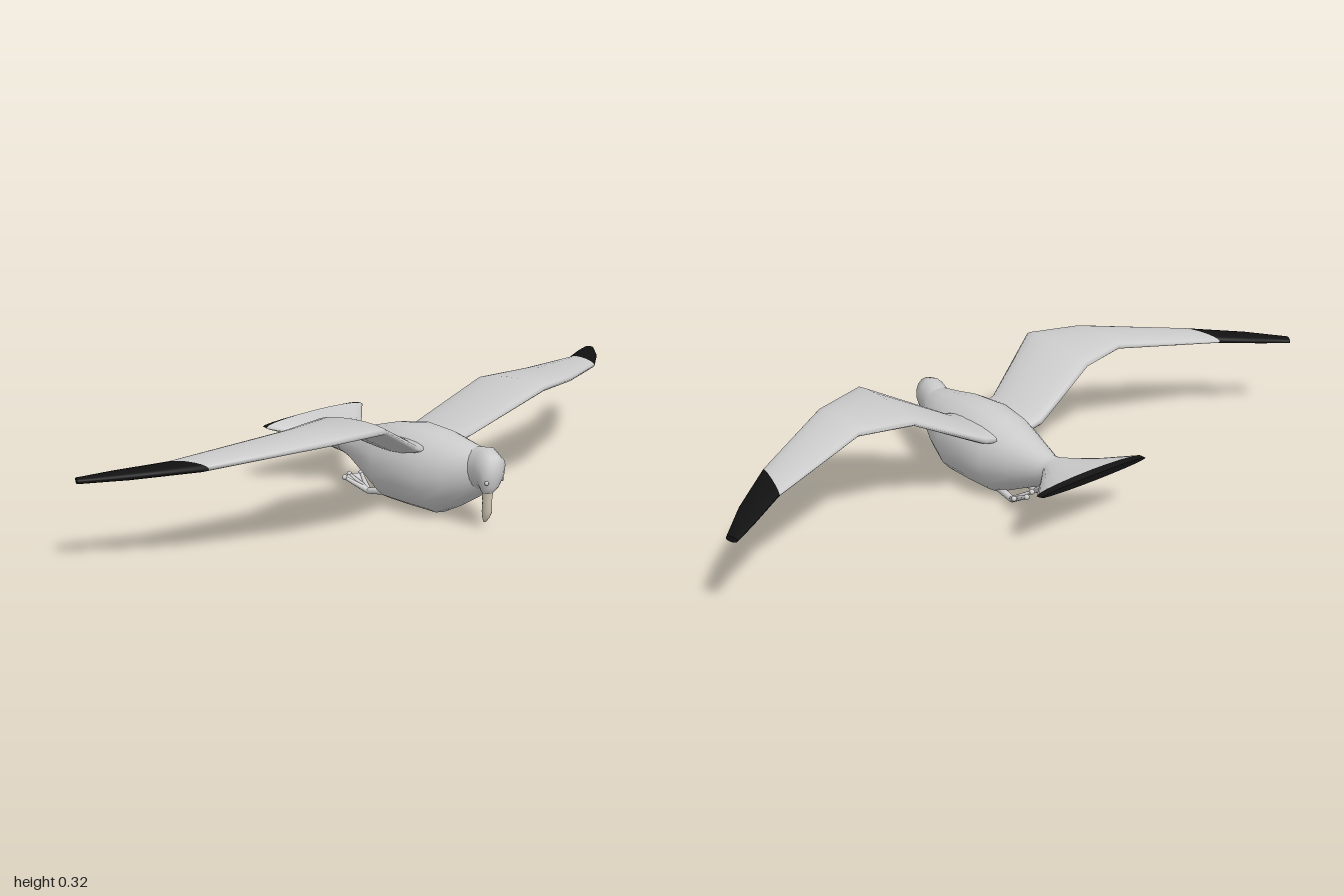
import * as THREE from 'three';

const V = (a) => new THREE.Vector3(...a);
const material = (color) => new THREE.MeshStandardMaterial({ color });
const grey = material(0xcccccc);
const black = material(0x111111);
const horn = material(0xd9d0bd);

// Closed skin through elliptical sections [centre, halfAxisU, halfAxisV]
function loft(name, sections, mat, n = 16) {
  const rings = sections.map(([c, u, v]) => {
    const ring = [];
    for (let j = 0; j < n; j++) {
      const a = (j / n) * Math.PI * 2;
      ring.push(V(c).addScaledVector(V(u), Math.cos(a)).addScaledVector(V(v), Math.sin(a)));
    }
    return ring;
  });
  const [c0, u0, v0] = sections[0];
  const along = V(sections[1][0]).sub(V(c0));
  const flip = V(u0).cross(V(v0)).dot(along) < 0;
  const pos = [], index = [];
  const tri = (a, b, c) => (flip ? index.push(a, c, b) : index.push(a, b, c));
  rings.flat().forEach((p) => pos.push(p.x, p.y, p.z));
  for (let i = 0; i < rings.length - 1; i++) {
    for (let j = 0; j < n; j++) {
      const a = i * n + j, b = i * n + ((j + 1) % n);
      tri(a, b, b + n);
      tri(a, b + n, a + n);
    }
  }
  // End caps with their own vertices so their rims stay crisp
  for (const end of [0, rings.length - 1]) {
    const s = pos.length / 3;
    pos.push(...sections[end][0]);
    rings[end].forEach((p) => pos.push(p.x, p.y, p.z));
    for (let j = 0; j < n; j++) {
      const a = s + 1 + j, b = s + 1 + ((j + 1) % n);
      end ? tri(s, a, b) : tri(s, b, a);
    }
  }
  const g = new THREE.BufferGeometry();
  g.setAttribute('position', new THREE.Float32BufferAttribute(pos, 3));
  g.setIndex(index);
  g.computeVertexNormals();
  const mesh = new THREE.Mesh(g, mat);
  mesh.name = name;
  return mesh;
}

// Upright section across z: [z, bottom, top, halfWidth]
const upright = ([z, lo, hi, w]) => [[0, (lo + hi) / 2, z], [w, 0, 0], [0, (hi - lo) / 2, 0]];

// Wing section from leading edge, trailing edge and half thickness
const chord = (side) => ([le, te, t]) => {
  const l = V([le[0] * side, le[1], le[2]]), r = V([te[0] * side, te[1], te[2]]);
  const c = l.clone().add(r).multiplyScalar(0.5);
  return [c.toArray(), l.sub(c).toArray(), [0, t, 0]];
};

// Thin tapered rod between two points, used for legs and toes
function rod(name, a, b, r0, r1) {
  const d = V(b).sub(V(a));
  const mesh = new THREE.Mesh(new THREE.CylinderGeometry(r1, r0, d.length(), 8), grey);
  mesh.position.copy(V(a)).addScaledVector(d, 0.5);
  mesh.quaternion.setFromUnitVectors(new THREE.Vector3(0, 1, 0), d.normalize());
  mesh.name = name;
  return mesh;
}

function makeWing(side) {
  const wing = new THREE.Group();
  wing.name = side > 0 ? 'leftWing' : 'rightWing';
  const joint = [[0.75, 0.266, 0.06], [0.79, 0.258, -0.075], 0.014];
  const inner = [
    [[0.04, 0.185, 0.145], [0.05, 0.18, -0.06], 0.02],
    [[0.1, 0.2, 0.155], [0.1, 0.19, -0.06], 0.022],
    [[0.31, 0.31, 0.248], [0.31, 0.29, -0.015], 0.02],
    [[0.47, 0.302, 0.208], [0.47, 0.295, 0.02], 0.018],
    joint,
  ];
  const tip = [
    joint,
    [[0.9, 0.251, -0.055], [0.91, 0.246, -0.142], 0.012],
    [[1, 0.24, -0.15], [0.985, 0.238, -0.18], 0.008],
  ];
  wing.add(loft('wingPanel', inner.map(chord(side)), grey));
  wing.add(loft('wingTip', tip.map(chord(side)), black));
  return wing;
}

// Webbed foot folded back against the belly
function makeFoot(side) {
  const foot = new THREE.Group();
  foot.name = side > 0 ? 'leftFoot' : 'rightFoot';
  const heel = [0.045 * side, 0.014, -0.1];
  foot.add(rod('leg', [0.04 * side, 0.025, -0.035], heel, 0.011, 0.009));
  const ends = [0.02, 0.052, 0.085].map((x, i) => [x * side, 0.05, i === 1 ? -0.17 : -0.155]);
  ends.forEach((e) => {
    foot.add(rod('toe', heel, e, 0.009, 0.005));
    const ball = new THREE.Mesh(new THREE.SphereGeometry(0.008, 8, 6), grey);
    ball.position.set(...e);
    ball.name = 'toeEnd';
    foot.add(ball);
  });
  const g = new THREE.BufferGeometry();
  g.setAttribute('position', new THREE.Float32BufferAttribute(
    [...heel, ...ends[0], ...ends[1], ...heel, ...ends[1], ...ends[2]], 3));
  g.computeVertexNormals();
  const web = new THREE.Mesh(g, new THREE.MeshStandardMaterial({ color: 0xcccccc, side: THREE.DoubleSide }));
  web.name = 'web';
  foot.add(web);
  return foot;
}

export function createModel() {
  const bird = new THREE.Group();
  bird.name = 'bird';

  // Body, from breast to rump
  bird.add(loft('body', [
    [0.315, 0.11, 0.19, 0.032],
    [0.28, 0.07, 0.212, 0.058],
    [0.22, 0.033, 0.22, 0.085],
    [0.155, 0, 0.232, 0.107],
    [0.06, 0, 0.238, 0.112],
    [-0.03, 0.001, 0.222, 0.105],
    [-0.11, 0.04, 0.198, 0.075],
    [-0.2, 0.082, 0.171, 0.042],
    [-0.23, 0.094, 0.172, 0.046],
  ].map(upright), grey, 20));

  // Fanned tail with dark end band
  bird.add(loft('tail', [
    [-0.225, 0.092, 0.172, 0.046],
    [-0.3, 0.125, 0.181, 0.122],
    [-0.368, 0.155, 0.19, 0.19],
  ].map(upright), grey, 20));
  bird.add(loft('tailBand', [
    [-0.368, 0.155, 0.19, 0.19],
    [-0.385, 0.165, 0.183, 0.187],
  ].map(upright), black, 20));

  // Head bowed down and turned slightly to the right
  bird.add(loft('head', [
    [[0, 0.15, 0.27], [0.048, 0, 0], [0, 0.062, 0]],
    [[-0.012, 0.165, 0.322], [0.042, 0, 0.012], [0, 0.06, 0.004]],
    [[-0.022, 0.16, 0.348], [0.042, 0, 0.01], [-0.005, 0.049, 0.022]],
    [[-0.027, 0.141, 0.355], [0.037, 0, 0.006], [-0.008, 0.034, 0.028]],
    [[-0.03, 0.117, 0.352], [0.025, 0, 0.004], [-0.008, 0.012, 0.024]],
    [[-0.03, 0.104, 0.344], [0.014, 0, 0.002], [-0.005, 0.003, 0.017]],
  ], grey));

  // Downward hooked beak
  bird.add(loft('beak', [
    [[-0.03, 0.115, 0.343], [0.014, 0, 0], [0, 0, 0.018]],
    [[-0.029, 0.08, 0.341], [0.011, 0, 0], [0, 0, 0.014]],
    [[-0.027, 0.05, 0.339], [0.011, 0, 0], [0, 0, 0.016]],
    [[-0.025, 0.03, 0.333], [0.008, 0, 0], [0, 0, 0.01]],
    [[-0.024, 0.018, 0.328], [0.003, 0, 0], [0, 0, 0.004]],
  ], horn, 12));

  for (const side of [1, -1]) {
    const eye = new THREE.Mesh(new THREE.SphereGeometry(0.006, 10, 8), grey);
    eye.position.set(-0.029 + side * 0.03, 0.142, 0.366);
    eye.name = side > 0 ? 'leftEye' : 'rightEye';
    bird.add(eye, makeWing(side), makeFoot(side));
  }
  return bird;
}
